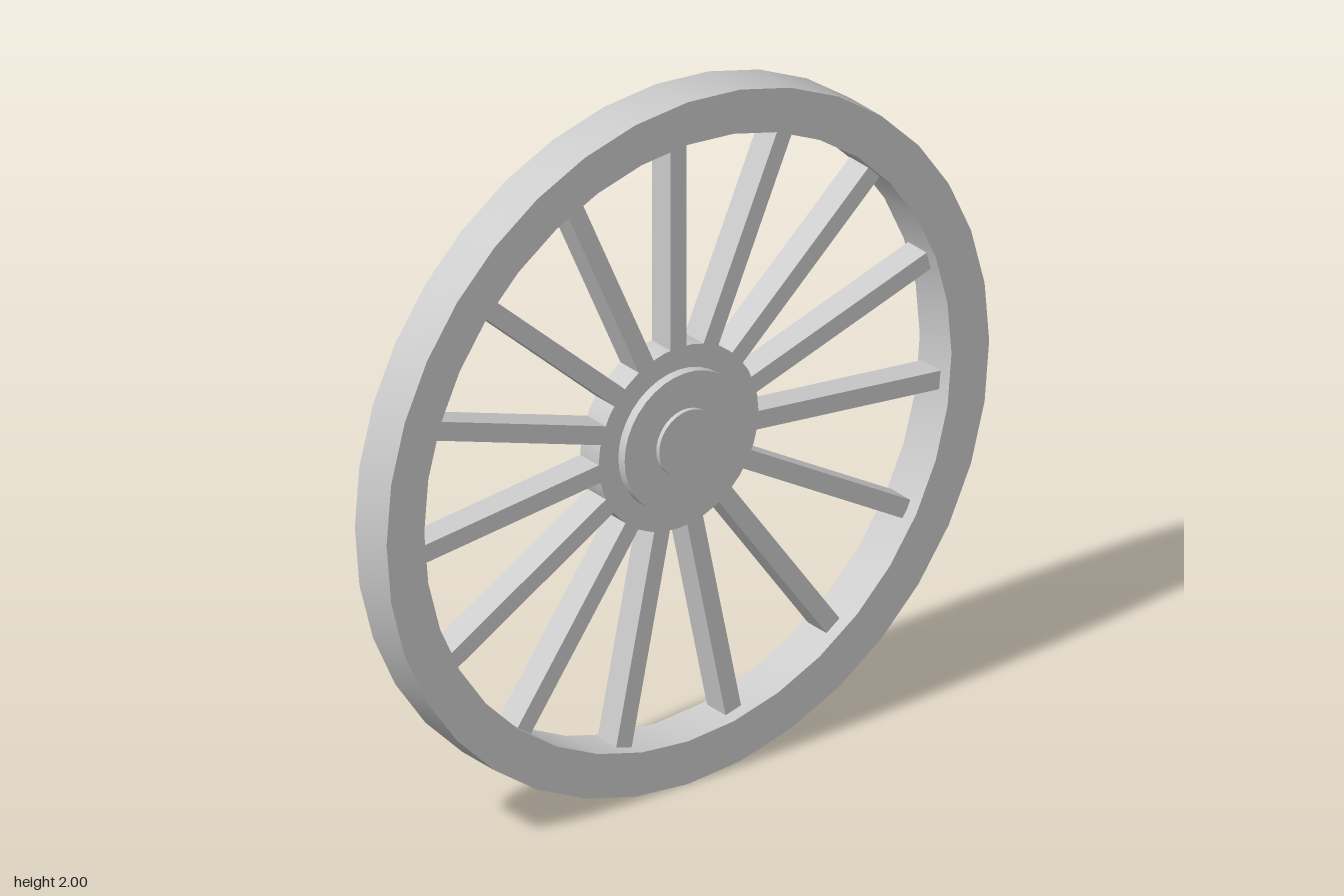
import * as THREE from 'three';
import { toCreasedNormals } from 'three/addons/utils/BufferGeometryUtils.js';

const SEGMENTS = 36;
const SPOKES = 15;

export function createModel() {
  const wheel = new THREE.Group();
  wheel.name = 'spokedWheel';
  const material = new THREE.MeshStandardMaterial({ color: 0xcccccc });

  const add = (name, geometry, parent = wheel) => {
    const mesh = new THREE.Mesh(geometry, material);
    mesh.name = name;
    parent.add(mesh);
    return mesh;
  };

  // Rim: rectangular section turned around the axle, set slightly forward
  const inner = 0.875, outer = 1, back = -0.057, front = 0.08;
  const section = [
    [inner, back], [outer, back], [outer, front], [inner, front], [inner, back],
  ].map(([r, z]) => new THREE.Vector2(r, z));
  const rim = new THREE.LatheGeometry(section, SEGMENTS).rotateX(Math.PI / 2);
  add('rim', toCreasedNormals(rim, Math.PI / 6));

  // Hub, collar and axle cap: stepped discs showing on both faces
  const disc = (name, radius, depth) =>
    add(name, new THREE.CylinderGeometry(radius, radius, depth, SEGMENTS).rotateX(Math.PI / 2));
  disc('hub', 0.265, 0.08);
  disc('hubCollar', 0.2, 0.134);
  disc('axleCap', 0.095, 0.16);

  // Spokes: square bars from inside the hub to just inside the rim
  const spokes = new THREE.Group();
  spokes.name = 'spokes';
  wheel.add(spokes);
  const start = 0.22, end = 0.885;
  const bar = new THREE.BoxGeometry(0.053, end - start, 0.08).translate(0, (start + end) / 2, 0);
  for (let i = 0; i < SPOKES; i++) {
    add('spoke', bar, spokes).rotation.z = (i / SPOKES) * Math.PI * 2;
  }

  wheel.position.y = 1;
  const model = new THREE.Group();
  model.name = 'wheel';
  model.add(wheel);
  return model;
}
